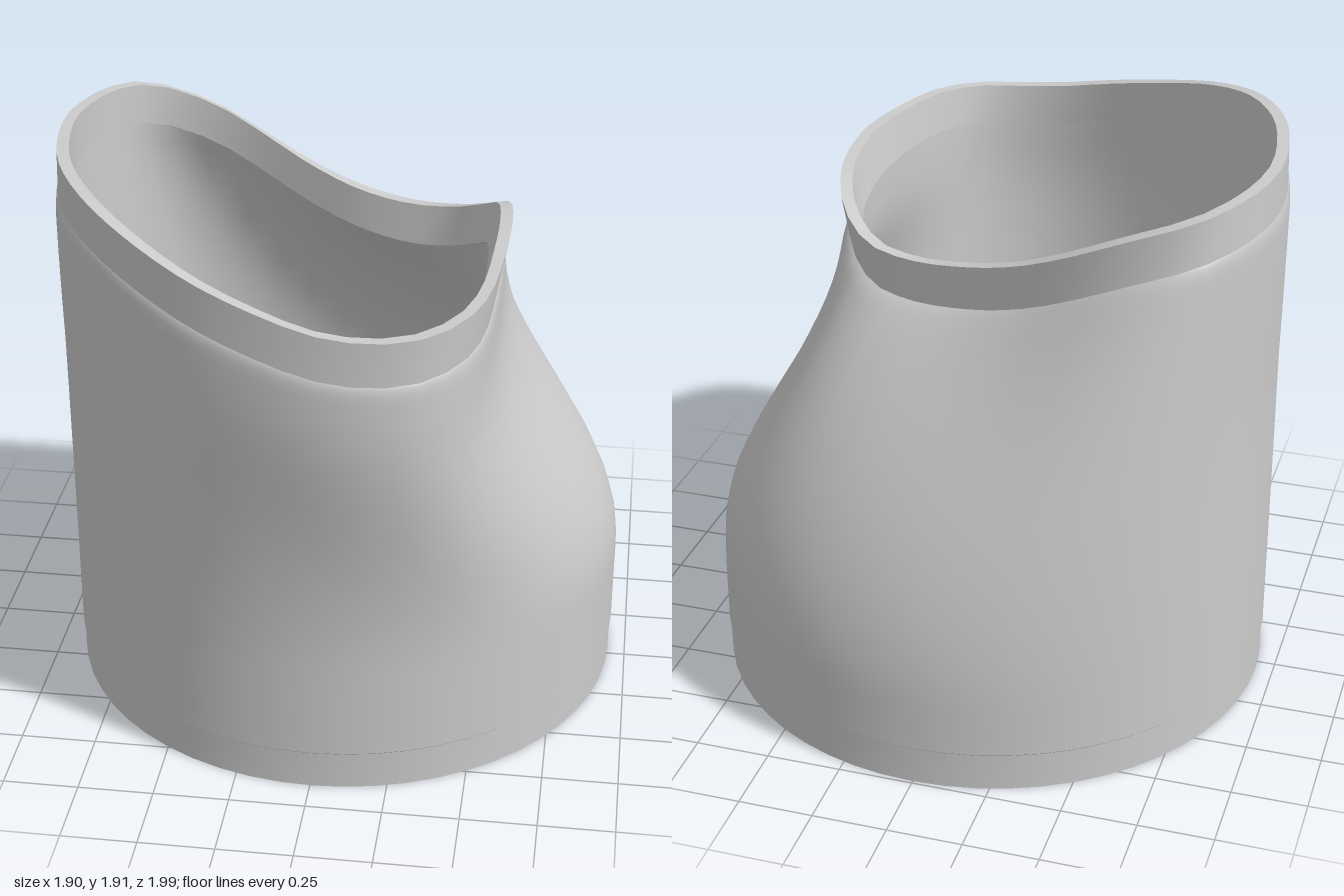
import * as THREE from 'three';

const N = 56;                 // columns around the form
const R = 0.945;              // radius of the round foot
const CZ = -0.05;             // z of the foot's axis
const MX = -0.15, MZ = 0.15;  // middle of the mouth
const BAND = 0.145;           // height of the rim band
const WALL = 0.04;

// Mouth outline: x, height, z
const MOUTH = [
  [-0.94, 1.91, -0.05], [-0.93, 1.905, -0.2], [-0.89, 1.9, -0.35], [-0.81, 1.885, -0.49],
  [-0.72, 1.86, -0.55], [-0.55, 1.8, -0.572], [-0.4, 1.73, -0.55], [-0.2, 1.64, -0.485],
  [0, 1.58, -0.415], [0.2, 1.555, -0.36], [0.35, 1.57, -0.31], [0.47, 1.63, -0.2],
  [0.535, 1.7, -0.05], [0.557, 1.73, 0.2], [0.55, 1.72, 0.4], [0.53, 1.7, 0.6],
  [0.48, 1.69, 0.78], [0.37, 1.68, 0.92], [0.23, 1.675, 0.975], [0.05, 1.69, 0.985],
  [-0.13, 1.73, 0.95], [-0.35, 1.785, 0.865], [-0.57, 1.85, 0.72], [-0.75, 1.895, 0.53],
  [-0.88, 1.91, 0.28],
].map((p) => new THREE.Vector3(...p));

const lerp = THREE.MathUtils.lerp;
const smooth = THREE.MathUtils.smoothstep;

// For every direction: mouth point, its height, and the foot point below it
function makeColumns() {
  const samples = new THREE.CatmullRomCurve3(MOUTH, true).getPoints(2000).map((p) => ({
    p, a: Math.atan2(p.z - MZ, p.x - MX),
  }));
  const columns = [];
  for (let i = 0; i < N; i++) {
    const a = (i / N) * Math.PI * 2;
    let best = samples[0], gap = Infinity;
    for (const s of samples) {
      const d = 1 - Math.cos(s.a - a);
      if (d < gap) { gap = d; best = s; }
    }
    const cos = Math.cos(a), sin = Math.sin(a);
    // the foot of the band leans in on the right and slightly out elsewhere
    const lean = 0.008 - 0.035 * Math.max(0, cos) ** 2;
    columns.push({ cos, sin, lean, x: best.p.x, z: best.p.z, h: best.p.y });
  }
  return columns;
}

// Skin closed loops; each row gives [x, y, z] for a column
function loft(name, columns, rows, material) {
  const pos = rows.flatMap((row) => columns.flatMap((c) => row(c)));
  const index = [];
  for (let j = 0; j < rows.length - 1; j++) {
    for (let i = 0; i < N; i++) {
      const a = j * N + i, b = j * N + ((i + 1) % N);
      index.push(a, a + N, b, b, a + N, b + N);
    }
  }
  const geo = new THREE.BufferGeometry();
  geo.setAttribute('position', new THREE.Float32BufferAttribute(pos, 3));
  geo.setIndex(index);
  geo.computeVertexNormals();
  const mesh = new THREE.Mesh(geo, material);
  mesh.name = name;
  return mesh;
}

// Point on the mouth outline, moved outward, at a drop below the rim
const mouth = (c, out, drop) => [c.x + out * c.cos, c.h - drop, c.z + out * c.sin];

// Body wall at fraction t of its height: round foot blending into the mouth
function wall(c, t, inset) {
  const top = c.h - BAND;
  const y = lerp(0.135, top, t);
  // domed at the back, S-shaped on the other sides
  const dome = Math.max(0, (y - 0.3) / (top - 0.3)) ** 2;
  const bend = smooth(y, 0.45, top - 0.12);
  const s = lerp(dome, bend, smooth(c.sin, -0.9, 0));
  const out = c.lean + 0.006;
  return [
    lerp(R * c.cos, c.x + out * c.cos, s) - inset * c.cos,
    y,
    lerp(CZ + R * c.sin, c.z + out * c.sin, s) - inset * c.sin,
  ];
}

export function createModel() {
  const group = new THREE.Group();
  const material = new THREE.MeshStandardMaterial({ color: 0xcccccc, side: THREE.DoubleSide });
  const columns = makeColumns();
  const add = (name, rows) => group.add(loft(name, columns, rows, material));
  const ring = (r, y) => (c) => [r * c.cos, y, CZ + r * c.sin];

  // Foot
  add('base', [ring(0, 0), ring(0.94, 0)]);
  add('footBand', [ring(0.94, 0), ring(0.94, 0.13)]);
  add('footLip', [ring(0.94, 0.13), ring(R, 0.135)]);

  // Body, ending in a small rounded shoulder under the band
  const STEPS = 24;
  const outer = [];
  for (let j = 0; j <= STEPS; j++) outer.push((c) => wall(c, (j / STEPS) * 0.96, 0));
  for (const [t, inset] of [[0.98, 0.002], [0.993, 0.005], [1, 0.01]]) {
    outer.push((c) => wall(c, t, inset));
  }
  add('body', outer);

  // Rim band around the mouth
  const bandFoot = (c) => mouth(c, c.lean - 0.004, BAND);
  const bandTop = (c) => mouth(c, 0, 0);
  const lipInner = (c) => mouth(c, -WALL, 0);
  const ledge = (c) => mouth(c, c.lean - WALL - 0.008, BAND - 0.005);
  add('rimBand', [bandFoot, bandTop]);
  add('rimTop', [bandTop, lipInner]);
  add('rimInside', [lipInner, ledge]);

  // Hollow inside
  const inner = [];
  for (let j = STEPS; j >= 0; j--) inner.push((c) => wall(c, j / STEPS, 0.035));
  add('rimLedge', [ledge, inner[0]]);
  add('innerWall', [...inner, ring(R - 0.035, 0.01)]);
  add('floor', [ring(R - 0.035, 0.01), ring(0, 0.01)]);
  return group;
}
